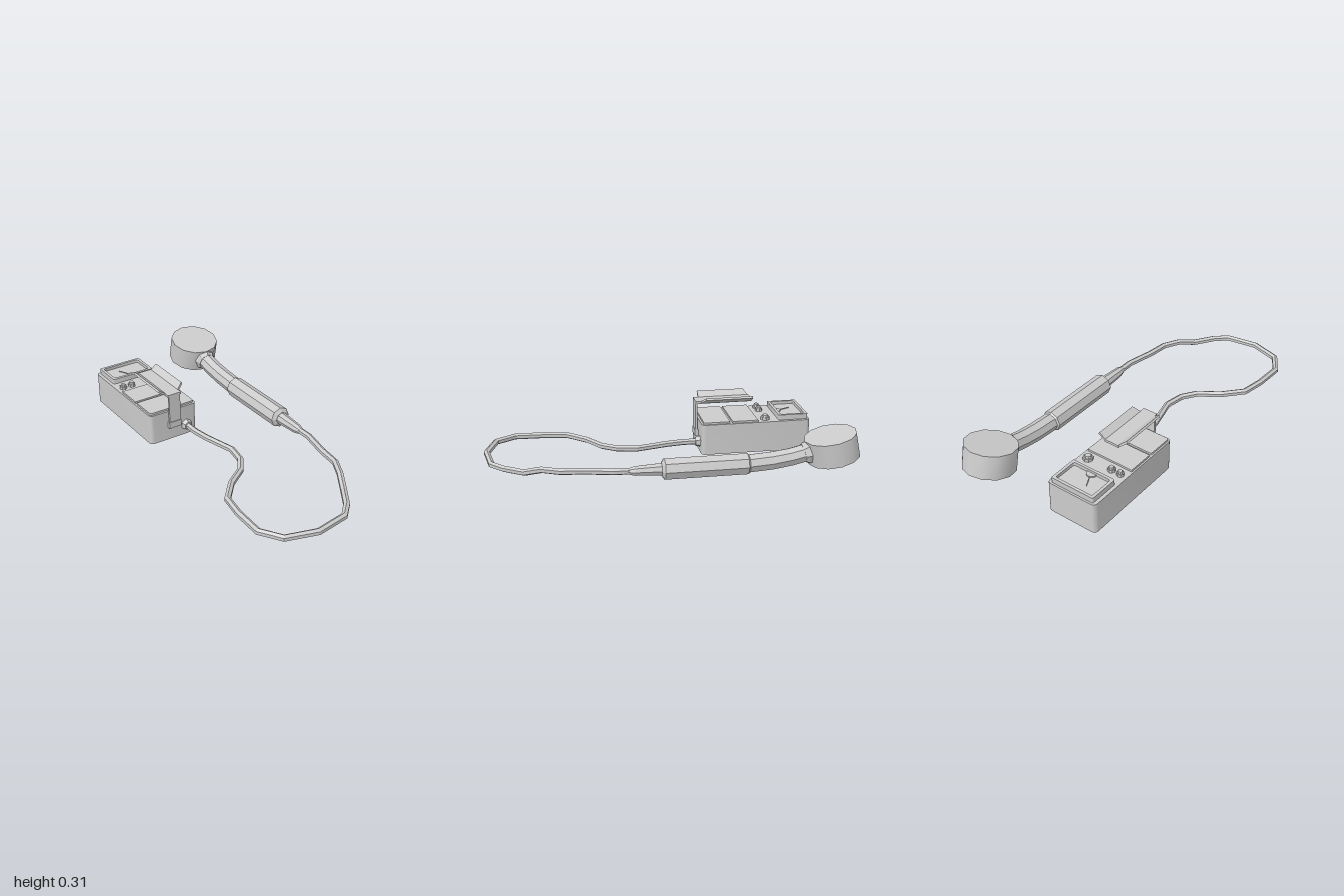
import * as THREE from 'three';
import { toCreasedNormals } from 'three/addons/utils/BufferGeometryUtils.js';

const grey = new THREE.MeshStandardMaterial({ color: 0xcccccc });
const flat = new THREE.MeshStandardMaterial({ color: 0xcccccc, flatShading: true });

function add(parent, name, geometry, x = 0, y = 0, z = 0, material = flat) {
  const mesh = new THREE.Mesh(geometry, material);
  mesh.name = name;
  mesh.position.set(x, y, z);
  parent.add(mesh);
  return mesh;
}

function roundedRect(w, d, r, Type = THREE.Shape) {
  const s = new Type(), a = w / 2, b = d / 2;
  s.moveTo(-a + r, -b);
  s.lineTo(a - r, -b).quadraticCurveTo(a, -b, a, -b + r);
  s.lineTo(a, b - r).quadraticCurveTo(a, b, a - r, b);
  s.lineTo(-a + r, b).quadraticCurveTo(-a, b, -a, b - r);
  s.lineTo(-a, -b + r).quadraticCurveTo(-a, -b, -a + r, -b);
  return s;
}

// Upright slab with its base at y = 0
function slab(shape, height) {
  const g = new THREE.ExtrudeGeometry(shape, { depth: height, bevelEnabled: false, curveSegments: 4 });
  return toCreasedNormals(g.rotateX(-Math.PI / 2), 0.6);
}

// Faceted tube through stations [x, y, z, radius], closed at both ends
function sweep(stations, sides) {
  const pts = stations.map(s => new THREE.Vector3(s[0], s[1], s[2]));
  const up = new THREE.Vector3(0, 1, 0), pos = [], idx = [];
  pts.forEach((p, i) => {
    const t = new THREE.Vector3();
    if (i > 0) t.add(p.clone().sub(pts[i - 1]).normalize());
    if (i < pts.length - 1) t.add(pts[i + 1].clone().sub(p).normalize());
    t.normalize();
    const side = new THREE.Vector3().crossVectors(up, t).normalize();
    const top = new THREE.Vector3().crossVectors(t, side);
    for (let k = 0; k < sides; k++) {
      const a = (k / sides) * Math.PI * 2, r = stations[i][3];
      const v = p.clone().addScaledVector(top, r * Math.cos(a)).addScaledVector(side, -r * Math.sin(a));
      pos.push(v.x, v.y, v.z);
    }
  });
  for (let i = 0; i < pts.length - 1; i++) {
    for (let k = 0; k < sides; k++) {
      const a = i * sides + k, b = i * sides + (k + 1) % sides;
      idx.push(a, b, a + sides, b, b + sides, a + sides);
    }
  }
  const last = (pts.length - 1) * sides;
  for (let k = 1; k < sides - 1; k++) {
    idx.push(0, k + 1, k, last, last + k, last + k + 1);
  }
  const g = new THREE.BufferGeometry();
  g.setAttribute('position', new THREE.Float32BufferAttribute(pos, 3));
  g.setIndex(idx);
  g.computeVertexNormals();
  return g;
}

function buildMeterBox() {
  const box = new THREE.Group();
  box.name = 'meterBox';
  const cx = -0.243, top = 0.178;

  // Case and the two cover plates on its lid
  add(box, 'case', slab(roundedRect(0.296, 0.63, 0.025), top), cx, 0, -0.535, grey);
  add(box, 'coverPlateRear', new THREE.BoxGeometry(0.278, 0.012, 0.148), cx, top + 0.005, -0.472);
  add(box, 'coverPlateFront', slab(roundedRect(0.278, 0.152, 0.012), 0.011), cx, top, -0.308, grey);

  // Dial window: frame, sunken face, needle and pivot cover
  const frame = roundedRect(0.258, 0.17, 0.008);
  frame.holes.push(roundedRect(0.226, 0.138, 0.012, THREE.Path));
  add(box, 'dialFrame', slab(frame, 0.03), cx, top, -0.754, grey);
  add(box, 'dialFace', new THREE.BoxGeometry(0.23, 0.012, 0.142), cx, top + 0.006, -0.754);
  const needle = add(box, 'needle', new THREE.BoxGeometry(0.004, 0.004, 0.085), cx - 0.018, top + 0.015, -0.735);
  needle.rotation.y = 0.45;
  const pivot = new THREE.CylinderGeometry(0.028, 0.028, 0.008, 8, 1, false, Math.PI / 2, Math.PI);
  add(box, 'needlePivot', pivot, cx, top + 0.015, -0.686);

  // Control knobs: wide foot with a smaller cap
  for (const [x, r] of [[-0.35, 0.021], [-0.295, 0.021], [-0.146, 0.027]]) {
    add(box, 'knobBase', new THREE.CylinderGeometry(r, r, 0.016, 8), x, top + 0.008, -0.597);
    add(box, 'knobCap', new THREE.CylinderGeometry(r * 0.6, r * 0.75, 0.012, 8), x, top + 0.021, -0.597);
  }

  // Cable socket
  const socket = new THREE.CylinderGeometry(0.026, 0.034, 0.03, 6).rotateX(Math.PI / 2);
  socket.rotateZ(Math.PI);
  add(box, 'cableSocket', socket, -0.163, 0.06, -0.208);
  return box;
}

function buildBracket() {
  const bracket = new THREE.Group();
  bracket.name = 'probeBracket';
  const cx = -0.243;
  add(bracket, 'bracketFoot', new THREE.BoxGeometry(0.077, 0.038, 0.022), cx, 0.096, -0.211);
  add(bracket, 'bracketPost', new THREE.BoxGeometry(0.07, 0.205, 0.012), cx, 0.1825, -0.208);
  add(bracket, 'bracketShelf', new THREE.BoxGeometry(0.084, 0.014, 0.327), cx, 0.279, -0.3655);

  // Flared wings with one clipped corner
  for (const s of [-1, 1]) {
    const wing = new THREE.Shape([[0, 0.232], [0, 0.527], [0.051, 0.527], [0.051, 0.255]]
      .map(p => new THREE.Vector2(...p)));
    const g = new THREE.ExtrudeGeometry(wing, { depth: 0.012, bevelEnabled: false });
    g.rotateX(-Math.PI / 2).rotateZ(0.63);
    if (s < 0) g.rotateY(Math.PI).translate(0, 0, -0.759);
    add(bracket, s < 0 ? 'wingRight' : 'wingLeft', g, cx + s * 0.042, 0.273, 0);
  }
  return bracket;
}

function buildProbe() {
  const probe = new THREE.Group();
  probe.name = 'probe';
  const x = 0.287, y = 0.09;
  add(probe, 'strainRelief', sweep([
    [x, y, 0.255, 0.016], [x, y, 0.215, 0.027], [x, y, 0.06, 0.036], [x, y, 0.04, 0.036]], 8));
  add(probe, 'grip', sweep([
    [x, y, 0.075, 0.037], [x, y, 0.06, 0.06], [x, y, -0.385, 0.06], [x, y, -0.395, 0.05]], 8));
  add(probe, 'neck', sweep([
    [x, y, -0.38, 0.051], [x, 0.099, -0.52, 0.051], [x, 0.113, -0.62, 0.05],
    [x, 0.131, -0.70, 0.05], [x, 0.142, -0.75, 0.05]], 8));
  add(probe, 'neckCollar', sweep([
    [x, 0.129, -0.694, 0.052], [x, 0.133, -0.709, 0.063], [x, 0.141, -0.745, 0.063]], 8));

  // Drum-shaped sensing head, tipped toward the handle
  const head = add(probe, 'sensorHead',
    toCreasedNormals(new THREE.CylinderGeometry(0.1425, 0.1425, 0.134, 12), 0.7), x, 0.16, -0.85, grey);
  head.rotation.x = 0.21;
  return probe;
}

function buildCable() {
  const path = [
    [-0.163, -0.21], [-0.163, -0.12], [-0.15, -0.03], [-0.105, 0.15], [-0.125, 0.26],
    [-0.18, 0.34], [-0.29, 0.415], [-0.385, 0.52], [-0.408, 0.65], [-0.415, 0.82],
    [-0.345, 0.93], [-0.18, 0.982], [0, 0.955], [0.07, 0.89], [0.14, 0.785],
    [0.19, 0.695, 0.09], [0.238, 0.60, 0.092], [0.252, 0.48, 0.092], [0.287, 0.32, 0.092], [0.287, 0.22, 0.09]];
  return sweep(path.map(([x, z, y = 0.06]) => [x, y, z, 0.018]), 6);
}

export function createModel() {
  const model = new THREE.Group();
  model.name = 'surveyMeter';
  model.add(buildMeterBox(), buildBracket(), buildProbe());
  add(model, 'cable', buildCable());
  return model;
}
